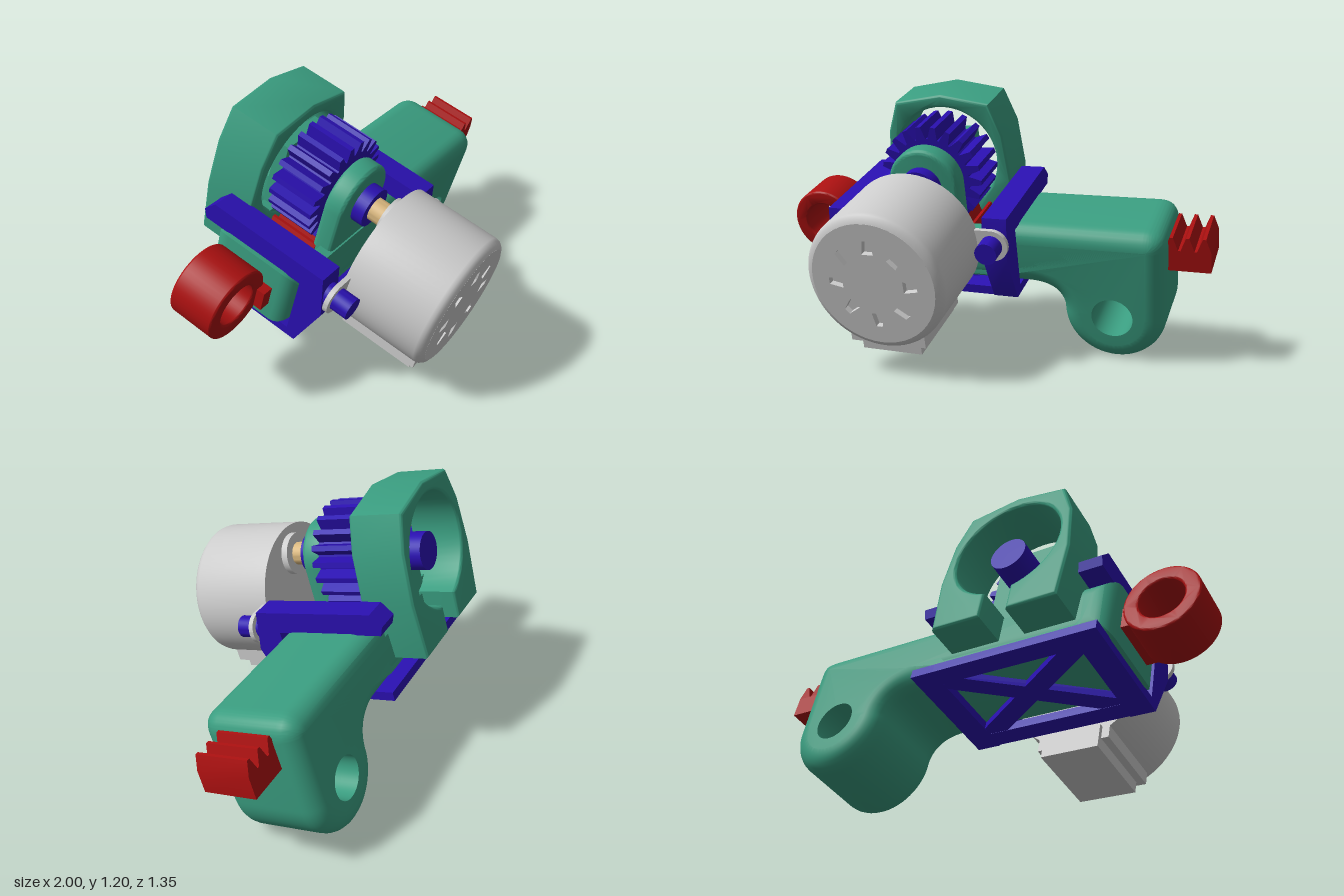
import * as THREE from 'three';
import { toCreasedNormals } from 'three/addons/utils/BufferGeometryUtils.js';

const mat = (color) => new THREE.MeshStandardMaterial({ color });
const GREEN = mat(0x3a9d80), BLUE = mat(0x2a10b0), RED = mat(0xaa1010), TAN = mat(0xd9b77e), GREY = mat(0xcccccc);
const AX = -0.19, GEAR_Y = 0.725, MOTOR_Y = 0.55, ARM = 0.366;

export function createModel() {
  const model = new THREE.Group();
  model.name = 'linearActuator';
  const tilted = new THREE.Group();
  tilted.name = 'assembly';
  tilted.rotation.set(0.297, 0.209, 0, 'YXZ');
  model.add(tilted);

  const add = (name, geo, material) => {
    const mesh = new THREE.Mesh(toCreasedNormals(geo, 0.6), material);
    mesh.name = name;
    tilted.add(mesh);
    return mesh;
  };
  // Box given by its limits on each axis
  const box = (name, material, x0, x1, y0, y1, z0, z1) =>
    add(name, new THREE.BoxGeometry(x1 - x0, y1 - y0, z1 - z0), material)
      .position.set((x0 + x1) / 2, (y0 + y1) / 2, (z0 + z1) / 2);
  // Cylinder along z
  const rod = (name, material, x, y, r, z0, z1) =>
    add(name, new THREE.CylinderGeometry(r, r, z1 - z0, 40).rotateX(Math.PI / 2), material)
      .position.set(x, y, (z0 + z1) / 2);
  // Shape extruded between two z planes, with an optional rounded edge
  const extrude = (shape, z0, z1, bevel = 0) => new THREE.ExtrudeGeometry(shape, {
    depth: z1 - z0 - 2 * bevel, bevelEnabled: bevel > 0, bevelSize: bevel,
    bevelThickness: bevel, bevelOffset: -bevel, bevelSegments: 6, curveSegments: 24,
  }).translate(0, 0, z0 + bevel);
  const slab = (name, material, shape, z0, z1, bevel) => add(name, extrude(shape, z0, z1, bevel), material);
  const poly = (pts) => new THREE.Shape(pts.map(([x, y]) => new THREE.Vector2(x, y)));
  const circle = (x, y, r, Type = THREE.Path) => new Type().absarc(x, y, r, 0, Math.PI * 2, false);

  // Housing with gear notch and a rounded mounting lobe
  const lobeX = 0.635, lobeY = 0.157, lobeR = 0.222;
  const body = new THREE.Shape();
  body.moveTo(-0.63, 0.28);
  body.lineTo(0.26, 0.28);
  body.quadraticCurveTo(lobeX - lobeR, 0.28, lobeX - lobeR, lobeY);
  body.absarc(lobeX, lobeY, lobeR, Math.PI, Math.PI * 2, false);
  body.lineTo(0.865, 0.47);
  body.quadraticCurveTo(0.865, 0.56, 0.775, 0.56);
  body.lineTo(0.06, 0.56);
  body.lineTo(0.06, 0.4);
  body.lineTo(-0.43, 0.4);
  body.lineTo(-0.43, 0.56);
  body.lineTo(-0.63, 0.56);
  body.holes.push(circle(lobeX, lobeY, 0.03));
  const bodyGeo = extrude(body, -0.565, -0.13, 0.08);
  // Make the lobe hole a straight bore
  const p = bodyGeo.attributes.position;
  for (let i = 0; i < p.count; i++) {
    const dx = p.getX(i) - lobeX, dy = p.getY(i) - lobeY, d = Math.hypot(dx, dy);
    if (d < 0.12) p.setXY(i, lobeX + (dx * 0.09) / d, lobeY + (dy * 0.09) / d);
  }
  add('housing', bodyGeo, GREEN);
  box('housingFrontWall', GREEN, -0.53, 0.15, 0.31, 0.53, -0.21, -0.148);
  box('housingBackWall', GREEN, -0.53, 0.15, 0.31, 0.53, -0.547, -0.485);

  // Front bearing arch and rear bearing plate
  const arch = new THREE.Shape();
  arch.moveTo(AX - 0.165, 0.42);
  arch.lineTo(AX + 0.165, 0.42);
  arch.absarc(AX, GEAR_Y, 0.165, 0, Math.PI, false);
  slab('frontBearing', GREEN, arch, -0.25, -0.155, 0.02);
  box('rearBearing', GREEN, AX - 0.13, AX + 0.13, 0.45, 0.86, -0.55, -0.49);

  // Rear cage: faceted outside, round inside, open at the bottom
  const cx = AX - 0.015, gap = 0.06, holeR = 0.245;
  const side = [[0.285, 0.36], [0.305, 0.62], [0.285, 0.84], [0.23, 0.99]];
  const cage = poly([[gap, 0.36], ...side, [0, 1.03],
    ...side.slice().reverse().map(([x, y]) => [-x, y]), [-gap, 0.36]].map(([x, y]) => [cx + x, y]));
  const open = Math.asin(gap / holeR);
  cage.absarc(cx, GEAR_Y, holeR, -Math.PI / 2 - open, -Math.PI / 2 + open, true);
  slab('rearCage', GREEN, cage, -0.72, -0.48, 0.015);

  // Pinion gear, hub and axle
  const teeth = 21, gearPts = [];
  for (let i = 0; i < teeth; i++) {
    for (const [f, r] of [[-0.42, 0.182], [-0.16, 0.238], [0.16, 0.238], [0.42, 0.182]]) {
      const a = ((i + f) / teeth) * Math.PI * 2 - Math.PI / 2;
      gearPts.push([AX + r * Math.cos(a), GEAR_Y + r * Math.sin(a)]);
    }
  }
  slab('pinion', BLUE, poly(gearPts), -0.47, -0.255);
  rod('hub', BLUE, AX, GEAR_Y, 0.09, -0.26, -0.1);
  rod('axlePin', BLUE, AX, GEAR_Y, 0.082, -0.685, -0.46);

  // Toothed rack with an end ring
  const rackPts = [[-0.68, 0.36], [1.04, 0.36]], pitch = 0.068;
  for (let i = 0; i < 22; i++) {
    const x = 1.04 - i * pitch;
    for (const [f, y] of [[0, 0.455], [0.3, 0.515], [0.5, 0.515], [0.85, 0.455]]) rackPts.push([x - f * pitch, y]);
  }
  rackPts.push([-0.68, 0.455]);
  slab('rack', RED, poly(rackPts), -0.465, -0.232);
  const ring = circle(-0.797, 0.447, 0.16, THREE.Shape);
  ring.holes.push(circle(-0.797, 0.447, 0.095));
  slab('rackRing', RED, ring, -0.48, -0.27, 0.01);

  // Clamp arms wrapping the housing, drawn as (z, y) sections
  const arm = poly([[-0.635, 0.595], [-0.59, 0.65], [-0.035, 0.65], [0, 0.47], [-0.085, 0.245], [-0.605, 0.245],
    [-0.605, 0.285], [-0.13, 0.285], [-0.13, 0.555], [-0.62, 0.555]]);
  const armGeo = new THREE.ExtrudeGeometry(arm, { depth: 0.11, bevelEnabled: false })
    .rotateY(-Math.PI / 2).translate(0.055, 0, 0);
  for (const s of [-1, 1]) {
    const x = AX + s * ARM;
    add('clampArm', armGeo.clone(), BLUE).position.x = x;
    rod('clampPeg', BLUE, x, MOTOR_Y, 0.048, -0.03, 0.098);
    // Diagonal brace of the base
    const dx = 2 * ARM, dz = 0.44;
    const brace = add('baseBrace', new THREE.BoxGeometry(Math.hypot(dx, dz), 0.036, 0.08), BLUE);
    brace.position.set(AX, 0.264, -0.35);
    brace.rotation.y = s * Math.atan2(dz, dx);
  }
  for (const z of [-0.605, -0.17]) box('baseRail', BLUE, AX - ARM, AX + ARM, 0.245, 0.285, z, z + 0.08);

  // Motor can: axis along z, recessed front face with slots
  const can = [[0, 0], [0.304, 0], [0.304, 0.375], [0.3, 0.39], [0.288, 0.404], [0.27, 0.412], [0.27, 0.385], [0, 0.385]]
    .map(([r, z]) => new THREE.Vector2(r, z));
  add('motorCan', new THREE.LatheGeometry(can, 64).rotateX(Math.PI / 2), GREY).position.set(AX, MOTOR_Y, 0);
  const face = circle(0, 0, 0.271, THREE.Shape);
  for (let i = 0; i < 8; i++) {
    const a = (i * Math.PI) / 4, c = Math.cos(a), s = Math.sin(a);
    face.holes.push(new THREE.Path([[0.135, -0.026], [0.195, -0.014], [0.195, 0.014], [0.135, 0.026]]
      .map(([r, t]) => new THREE.Vector2(r * c - t * s, r * s + t * c))));
  }
  slab('motorFace', GREY, face, 0.384, 0.412).position.set(AX, MOTOR_Y, 0);

  // Mounting ears
  const ears = new THREE.Shape();
  ears.absarc(ARM, 0, 0.07, -Math.PI / 2, Math.PI / 2, false);
  ears.absarc(-ARM, 0, 0.07, Math.PI / 2, Math.PI * 1.5, false);
  for (const s of [-1, 1]) ears.holes.push(circle(s * ARM, 0, 0.045));
  slab('motorEars', GREY, ears, 0.001, 0.022).position.set(AX, MOTOR_Y, 0);

  // Cable box, shaft boss and shaft
  box('cableBoxUpper', GREY, AX - 0.17, AX + 0.17, 0.24, 0.42, 0, 0.365);
  box('cableBoxLower', GREY, AX - 0.135, AX + 0.135, 0.188, 0.3, -0.02, 0.34);
  rod('shaftBoss', GREY, AX, GEAR_Y, 0.095, -0.03, 0.01);
  rod('motorShaft', TAN, AX, GEAR_Y, 0.052, -0.12, 0);

  return model;
}
